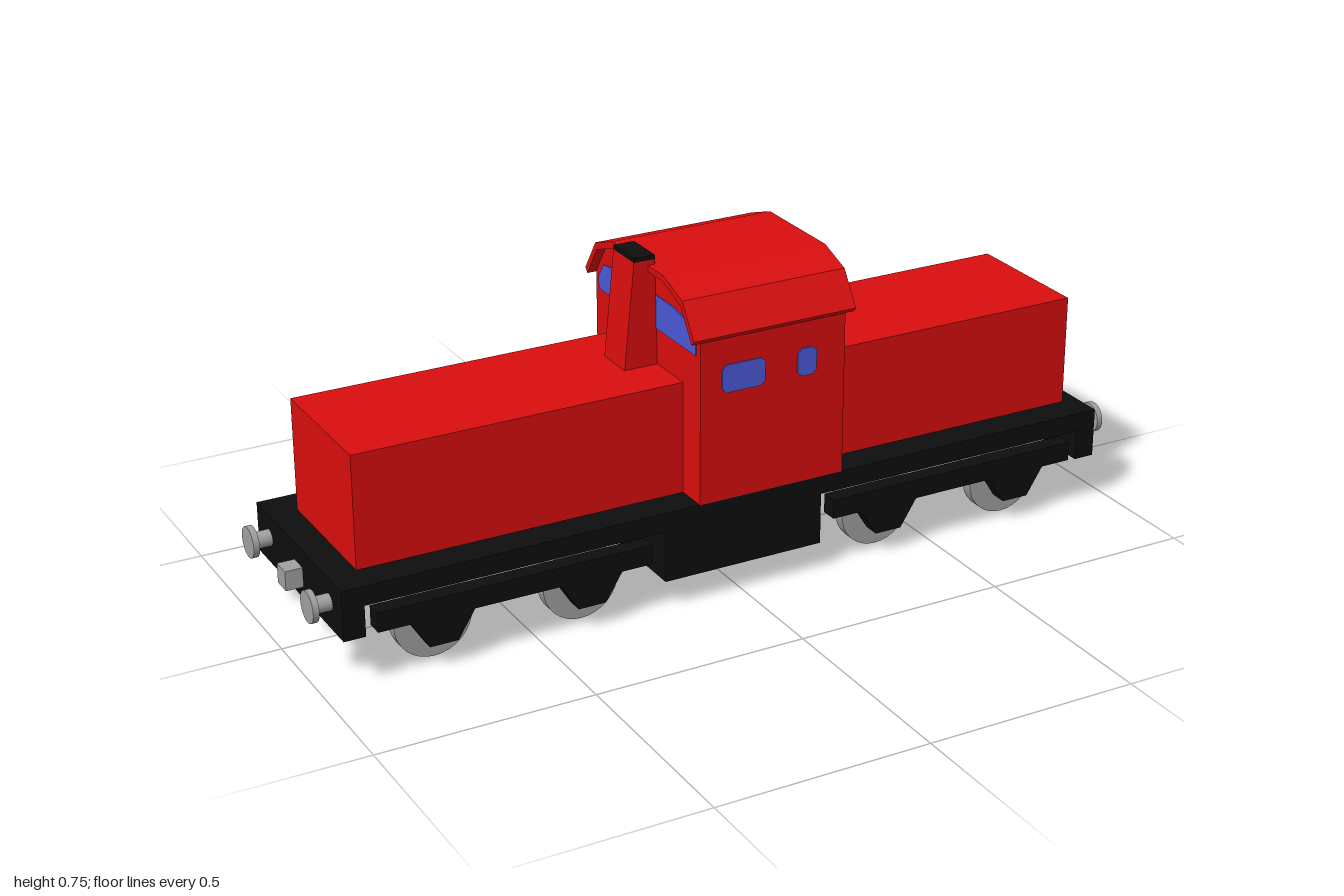
import * as THREE from 'three';

const material = (name, color) => {
  const m = new THREE.MeshStandardMaterial({ color });
  m.name = name;
  return m;
};

export function createModel() {
  const red = material('red paint', 0xd90e0e);
  const black = material('black frame', 0x0e0e0e);
  const grey = material('grey metal', 0xa0a0a0);
  const blue = material('blue glass', 0x4c58d8);
  const loco = new THREE.Group();
  loco.name = 'locomotive';

  const add = (name, geometry, mat) => {
    const mesh = new THREE.Mesh(geometry, mat);
    mesh.name = name;
    loco.add(mesh);
    return mesh;
  };
  // Box given by its limits on each axis
  const box = (name, mat, x0, x1, y0, y1, z0, z1) =>
    add(name, new THREE.BoxGeometry(x1 - x0, y1 - y0, z1 - z0), mat)
      .position.set((x0 + x1) / 2, (y0 + y1) / 2, (z0 + z1) / 2);
  const shape = (points) => new THREE.Shape(points.map(([a, b]) => new THREE.Vector2(a, b)));
  // Outline in x,y pushed along z
  const alongZ = (name, mat, points, z0, z1) =>
    add(name, new THREE.ExtrudeGeometry(shape(points), { depth: z1 - z0, bevelEnabled: false }), mat)
      .position.z = z0;
  // Outline in z,y pushed along x
  const alongX = (name, mat, points, x0, x1) => {
    const g = new THREE.ExtrudeGeometry(shape(points), { depth: x1 - x0, bevelEnabled: false });
    add(name, g.rotateY(Math.PI / 2), mat).position.x = x0;
  };
  const cylinder = (name, mat, radius, length, axis, x, y, z) => {
    const g = new THREE.CylinderGeometry(radius, radius, length, 32);
    if (axis === 'x') g.rotateZ(Math.PI / 2);
    else g.rotateX(Math.PI / 2);
    add(name, g, mat).position.set(x, y, z);
  };
  const mirrored = (half) => [...half, ...half.map(([z, y]) => [-z, y]).reverse()];

  // Chassis and bodywork
  box('deck', black, -0.95, 0.95, 0.19, 0.235, -0.24, 0.24);
  box('fuelTank', black, -0.195, 0.2, 0.068, 0.19, -0.24, 0.24);
  box('longHood', red, -0.885, -0.11, 0.235, 0.498, -0.165, 0.165);
  box('shortHood', red, 0.25, 0.91, 0.235, 0.498, -0.165, 0.165);

  // Cab with faceted roof
  alongX('cab', red, mirrored([[0.242, 0.235], [0.242, 0.62], [0.195, 0.69], [0.115, 0.72]]), -0.11, 0.252);
  const outer = [[0.253, 0.628], [0.202, 0.704], [0.12, 0.733]];
  const inner = [[0.115, 0.719], [0.195, 0.689], [0.243, 0.617]];
  alongX('roof', red, [
    ...mirrored(outer),
    ...mirrored([...inner].reverse()).reverse(),
  ], -0.132, 0.272);

  // Cab glass
  const endWindow = [[0.017, 0.583], [0.225, 0.583], [0.225, 0.613], [0.203, 0.646], [0.12, 0.66], [0.017, 0.66]];
  for (const side of [-1, 1]) {
    const pane = endWindow.map(([z, y]) => [z * side, y]);
    alongX('endWindow', blue, pane, 0.249, 0.255);
    alongX('endWindow', blue, pane, -0.113, -0.107);
    for (const [x0, x1] of [[-0.057, 0.05], [0.131, 0.179]]) {
      const c = 0.01, y0 = 0.49, y1 = 0.555;
      alongZ('sideWindow', blue, [
        [x0 + c, y0], [x1 - c, y0], [x1, y0 + c], [x1, y1 - c],
        [x1 - c, y1], [x0 + c, y1], [x0, y1 - c], [x0, y0 + c],
      ], side * 0.242 - 0.003, side * 0.242 + 0.003);
    }
  }

  // Exhaust stack leaning against the cab
  alongZ('exhaust', red, [[-0.192, 0.49], [-0.11, 0.49], [-0.115, 0.745], [-0.166, 0.745]], -0.048, 0.048);
  box('exhaustCap', black, -0.166, -0.115, 0.745, 0.755, -0.048, 0.048);

  // Buffer beams, buffers and couplers
  for (const end of [-1, 1]) {
    const span = (a, b) => (end > 0 ? [a, b] : [-b, -a]);
    box('bufferBeam', black, ...span(0.9, 0.95), 0.118, 0.235, -0.24, 0.24);
    box('coupler', grey, ...span(0.94, 0.99), 0.147, 0.193, -0.023, 0.023);
    for (const z of [-0.17, 0.17]) {
      cylinder('bufferShaft', grey, 0.019, 0.05, 'x', end * 0.965, 0.18, z);
      cylinder('bufferDisc', grey, 0.036, 0.014, 'x', end * 0.993, 0.18, z);
    }
  }

  // Bogies: side frames with axle guards, wheelsets inside
  for (const centre of [-0.55, 0.557]) {
    for (const z of [-0.22, 0.22]) {
      box('bogieFrame', black, centre - 0.323, centre + 0.323, 0.12, 0.166, z - 0.02, z + 0.02);
    }
    for (const x of [centre - 0.175, centre + 0.175]) {
      cylinder('axle', grey, 0.028, 0.32, 'z', x, 0.091, 0);
      for (const side of [-1, 1]) {
        cylinder('wheel', grey, 0.091, 0.03, 'z', x, 0.091, side * 0.17);
        alongZ('axleGuard', black, [
          [x - 0.075, 0.122], [x - 0.033, 0.055], [x + 0.033, 0.055], [x + 0.075, 0.122],
        ], side * 0.22 - 0.02, side * 0.22 + 0.02);
      }
    }
  }
  return loco;
}
